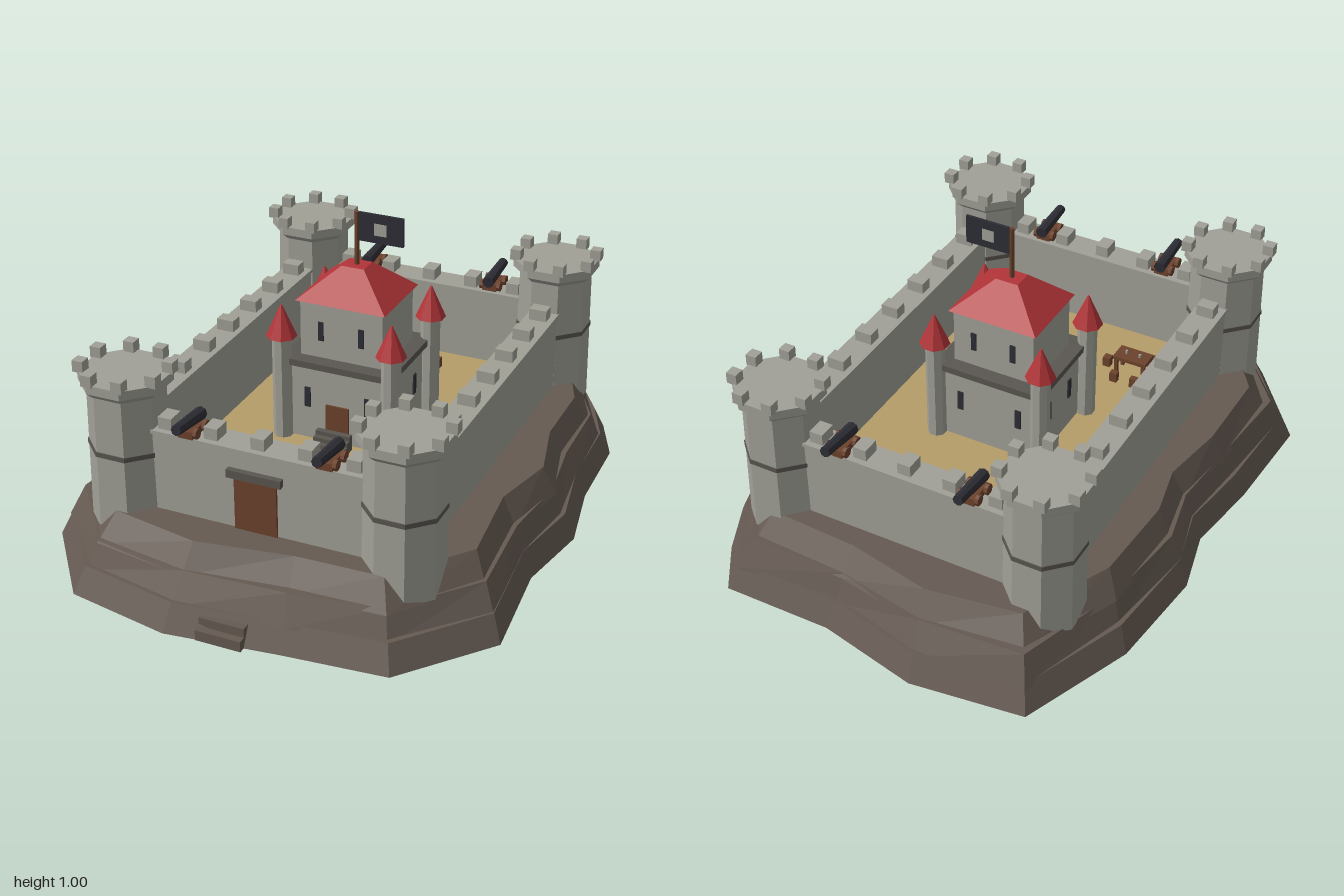
import * as THREE from 'three';

const mat = (name, color) => { const m = new THREE.MeshStandardMaterial({ color }); m.name = name; return m; };

export function createModel() {
  const stone = mat('stone', 0xa0a097), darkStone = mat('dark stone', 0x5a5650), rock = mat('rock', 0x655a52);
  const sand = mat('sand', 0xb59d69), wood = mat('wood', 0x6c422c), red = mat('roof red', 0xb23438), iron = mat('iron', 0x2d2d35);

  const model = new THREE.Group();
  model.name = 'fortress';
  const fort = new THREE.Group();
  fort.name = 'fort';
  fort.position.set(-0.01, 0, 0.005);
  model.add(fort);

  // Helpers: faceted mesh, box standing on y, prism standing on y
  const add = (parent, name, geo, m, x = 0, y = 0, z = 0) => {
    const g = geo.index ? geo.toNonIndexed() : geo;
    g.computeVertexNormals();
    const mesh = new THREE.Mesh(g, m);
    mesh.name = name;
    mesh.position.set(x, y, z);
    parent.add(mesh);
    return mesh;
  };
  const box = (p, name, m, w, h, d, x, y, z) => add(p, name, new THREE.BoxGeometry(w, h, d), m, x, y + h / 2, z);
  const prism = (p, name, m, rTop, rBase, h, x, y, z, sides = 8) =>
    add(p, name, new THREE.CylinderGeometry(rTop, rBase, h, sides).rotateY(Math.PI / sides), m, x, y + h / 2, z);
  const group = (p, name, x, y, z) => {
    const g = new THREE.Group();
    g.name = name;
    g.position.set(x, y, z);
    p.add(g);
    return g;
  };

  // Rock mound: three tapering ledges lofted from one irregular outline
  const outline = [[-0.56, -0.95], [-0.19, -0.998], [0.15, -0.92], [0.52, -0.92], [0.62, -0.76], [0.70, -0.58],
    [0.71, -0.27], [0.76, 0], [0.71, 0.27], [0.745, 0.64], [0.51, 0.92], [0.18, 0.95], [-0.19, 0.995],
    [-0.54, 0.925], [-0.76, 0.64], [-0.74, 0.27], [-0.70, 0], [-0.75, -0.22], [-0.71, -0.58]];
  const ledge = (y0, y1, s0, s1, wobble, seed) => {
    const ring = (y, s, k) => outline.map(([x, z], i) => {
      const f = s + wobble * Math.sin(i * 2.3 + seed + k);
      return [x * f, y, z * f];
    });
    const lo = ring(y0, s0, 0), hi = ring(y1, s1, 0.6), pos = [];
    lo.forEach((a, i) => {
      const j = (i + 1) % lo.length;
      pos.push(...lo[j], ...a, ...hi[i], ...lo[j], ...hi[i], ...hi[j]);
      pos.push(0, y1, 0, ...hi[j], ...hi[i], 0, y0, 0, ...a, ...lo[j]);
    });
    const g = new THREE.BufferGeometry();
    g.setAttribute('position', new THREE.Float32BufferAttribute(pos, 3));
    add(model, 'rockLedge', g, rock);
  };
  ledge(0, 0.085, 1, 0.955, 0, 0);
  ledge(0.07, 0.165, 0.955, 0.905, 0.012, 1);
  ledge(0.15, 0.24, 0.905, 0.84, 0.01, 3.5);
  box(model, 'landingStep', rock, 0.15, 0.035, 0.12, -0.01, 0, 0.925);
  box(model, 'landingStep', rock, 0.15, 0.03, 0.10, -0.01, 0.035, 0.91);

  // Courtyard floor
  box(fort, 'courtyard', sand, 0.84, 0.01, 1.25, 0, 0.236, 0);

  // Curtain walls with coping and merlons
  for (const s of [-1, 1]) {
    box(fort, 'sideWall', stone, 0.09, 0.27, 1.2, s * 0.46, 0.23, 0);
    box(fort, 'sideCoping', stone, 0.1, 0.012, 1.14, s * 0.46, 0.499, 0);
    box(fort, 'endWall', stone, 0.8, 0.27, 0.09, 0, 0.23, s * 0.665);
    box(fort, 'endCoping', stone, 0.7, 0.012, 0.1, 0, 0.499, s * 0.665);
    for (let i = -3; i <= 3; i++) box(fort, 'sideMerlon', stone, 0.06, 0.04, 0.045, s * 0.46, 0.51, i * 0.165);
    for (let i = -2; i <= 2; i++) box(fort, 'endMerlon', stone, 0.045, 0.04, 0.06, i * 0.155, 0.51, s * 0.665);
  }

  // Corner towers
  for (const sx of [-1, 1]) for (const sz of [-1, 1]) {
    const t = group(fort, 'cornerTower', sx * 0.457, 0, sz * 0.66);
    prism(t, 'towerShaft', stone, 0.122, 0.128, 0.48, 0, 0.155, 0);
    prism(t, 'towerBand', darkStone, 0.128, 0.128, 0.016, 0, 0.415, 0);
    prism(t, 'towerFlare', stone, 0.146, 0.124, 0.02, 0, 0.615, 0);
    prism(t, 'towerCap', stone, 0.146, 0.146, 0.03, 0, 0.635, 0);
    for (let i = 0; i < 8; i++) {
      const a = (i + 0.5) * Math.PI / 4;
      box(t, 'towerMerlon', stone, 0.036, 0.038, 0.036, Math.cos(a) * 0.135, 0.662, Math.sin(a) * 0.135);
    }
  }

  // Gate
  box(fort, 'gate', wood, 0.14, 0.18, 0.012, 0, 0.24, 0.712);
  box(fort, 'gateLintel', darkStone, 0.18, 0.026, 0.03, 0, 0.418, 0.715);

  // Keep
  const keep = group(fort, 'keep', 0, 0, -0.02);
  box(keep, 'keepBase', stone, 0.345, 0.27, 0.305, 0, 0.24, 0);
  box(keep, 'keepLedge', darkStone, 0.385, 0.022, 0.345, 0, 0.507, 0);
  box(keep, 'keepUpper', stone, 0.285, 0.195, 0.245, 0, 0.527, 0);
  add(keep, 'keepRoof', new THREE.CylinderGeometry(0.25 * Math.SQRT1_2, Math.SQRT1_2, 0.1, 4).rotateY(Math.PI / 4)
    .scale(0.31, 1, 0.27), red, 0, 0.77, 0);
  for (const s of [-1, 1]) {
    for (const x of [-0.07, 0.07]) {
      box(keep, 'upperWindow', iron, 0.018, 0.065, 0.008, x, 0.59, s * 0.123);
      box(keep, 'lowerWindow', iron, 0.02, 0.07, 0.008, x * 1.5, 0.36, s * 0.153);
      box(keep, 'sideWindow', iron, 0.008, 0.07, 0.02, s * 0.173, 0.36, x);
    }
    // Corner turrets
    for (const z of [-1, 1]) {
      const t = group(keep, 'turret', s * 0.19, 0, z * 0.163);
      prism(t, 'turretShaft', stone, 0.032, 0.032, 0.37, 0, 0.24, 0);
      prism(t, 'turretRoof', red, 0.003, 0.05, 0.108, 0, 0.602, 0);
    }
  }
  box(keep, 'keepDoor', wood, 0.08, 0.13, 0.009, 0, 0.25, 0.154);
  for (let i = 0; i < 4; i++) box(keep, 'keepStep', darkStone, 0.12, 0.014 * (4 - i), 0.02, 0, 0.244, 0.182 + i * 0.02);

  // Flag
  prism(keep, 'flagpole', wood, 0.008, 0.008, 0.19, 0, 0.81, 0);
  box(keep, 'flag', iron, 0.152, 0.096, 0.009, 0.084, 0.904, 0);
  box(keep, 'flagPatch', stone, 0.042, 0.04, 0.012, 0.082, 0.93, 0);

  // Cannons on the end walls
  for (const x of [-0.228, 0.228]) for (const s of [-1, 1]) {
    const c = group(fort, 'cannon', x, 0.511, s * 0.675);
    box(c, 'carriage', wood, 0.05, 0.025, 0.09, 0, 0, 0);
    for (const wx of [-0.031, 0.031]) for (const wz of [-0.028, 0.028])
      add(c, 'wheel', new THREE.CylinderGeometry(0.018, 0.018, 0.012, 8).rotateZ(Math.PI / 2), wood, wx, 0.016, wz);
    const barrel = add(c, 'cannonBarrel', new THREE.CylinderGeometry(0.017, 0.021, 0.155, 8).rotateX(Math.PI / 2), iron, 0, 0.045, s * 0.018);
    barrel.rotation.set(-0.1 * s, s < 0 ? Math.PI : 0, 0);
  }

  // Casks
  for (const [x, z] of [[-0.305, -0.505], [-0.23, -0.52], [-0.27, -0.43], [0.21, 0.495], [0.21, 0.58]]) {
    const c = group(fort, 'cask', x, 0.246, z);
    prism(c, 'caskLower', wood, 0.038, 0.031, 0.04, 0, 0, 0);
    prism(c, 'caskUpper', wood, 0.031, 0.038, 0.04, 0, 0.04, 0);
  }

  // Tables with stools and mugs
  for (const [x, z] of [[-0.005, -0.505], [-0.24, 0.405]]) {
    const t = group(fort, 'table', x, 0.246, z);
    box(t, 'tableTop', wood, 0.12, 0.012, 0.07, 0, 0.06, 0);
    for (const sx of [-1, 1]) {
      for (const sz of [-1, 1]) {
        box(t, 'tableLeg', wood, 0.012, 0.06, 0.012, sx * 0.05, 0, sz * 0.026);
        box(t, 'stool', wood, 0.026, 0.035, 0.022, sx * 0.037, 0, sz * 0.07);
      }
      box(t, 'endStool', wood, 0.026, 0.035, 0.026, sx * 0.095, 0, 0);
      prism(t, 'mug', stone, 0.005, 0.005, 0.012, sx * 0.025, 0.072, 0, 6);
    }
  }

  // Cannonball pyramids
  for (const [x, z] of [[0.315, -0.505], [0.325, 0.52]]) {
    const p = group(fort, 'cannonballs', x, 0.246, z);
    for (let n = 3; n > 0; n--) for (let i = 0; i < n; i++) for (let j = 0; j < n; j++)
      add(p, 'cannonball', new THREE.SphereGeometry(0.016, 8, 6), iron,
        (i - (n - 1) / 2) * 0.032, 0.016 + (3 - n) * 0.023, (j - (n - 1) / 2) * 0.032);
  }
  return model;
}
